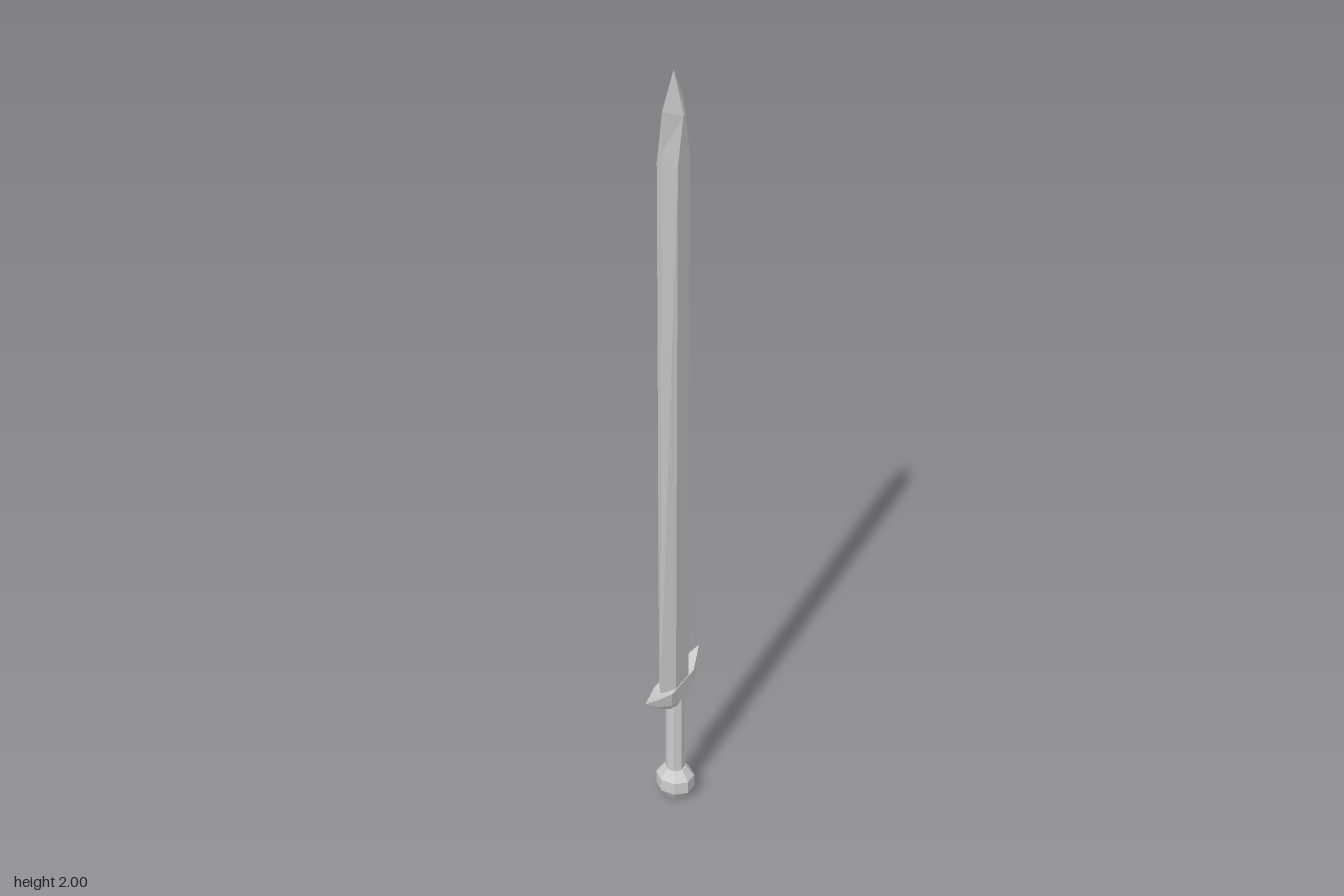
import * as THREE from 'three';

const material = new THREE.MeshStandardMaterial({ color: 0xcccccc, flatShading: true });

// Skin a stack of equal-length rings, ordered counterclockwise about the stacking axis
function loft(name, rings) {
  const pos = [];
  const tri = (a, b, c) => {
    const [p, q, r] = [a, b, c].map((v) => new THREE.Vector3(...v));
    if (q.sub(p).cross(r.sub(p)).length() > 1e-9) pos.push(...a, ...b, ...c);
  };
  const n = rings[0].length;
  for (let k = 0; k < rings.length - 1; k++) {
    for (let i = 0; i < n; i++) {
      const j = (i + 1) % n, a = rings[k], b = rings[k + 1];
      tri(a[i], a[j], b[j]);
      tri(a[i], b[j], b[i]);
    }
  }
  const first = rings[0], last = rings[rings.length - 1];
  for (let i = 1; i < n - 1; i++) {
    tri(first[0], first[i + 1], first[i]);
    tri(last[0], last[i], last[i + 1]);
  }
  const geo = new THREE.BufferGeometry();
  geo.setAttribute('position', new THREE.Float32BufferAttribute(pos, 3));
  geo.computeVertexNormals();
  const mesh = new THREE.Mesh(geo, material);
  mesh.name = name;
  return mesh;
}

// Eight-sided turned part from [radius, y] points
function turned(name, profile) {
  const geo = new THREE.LatheGeometry(profile.map(([r, y]) => new THREE.Vector2(r, y)), 8, Math.PI / 8);
  const mesh = new THREE.Mesh(geo.toNonIndexed(), material);
  mesh.geometry.computeVertexNormals();
  mesh.name = name;
  return mesh;
}

export function createModel() {
  const group = new THREE.Group();
  const cx = -0.004; // blade and guard sit slightly off the grip axis

  // Blade: six-sided section with bevelled edges along z
  // [y of flats, y of edges, half thickness, half flat width, half full width]
  const bladeRings = [
    [0.34, 0.34, 0.024, 0.032, 0.068],
    [1.79, 1.83, 0.026, 0.028, 0.052],
    [1.9, 1.92, 0.026, 0.004, 0.044],
    [2, 2, 0, 0, 0],
  ].map(([y, ye, h, f, w]) => [
    [cx, ye, w], [cx + h, y, f], [cx + h, y, -f],
    [cx, ye, -w], [cx - h, y, -f], [cx - h, y, f],
  ]);
  group.add(loft('blade', bladeRings));

  // Guard: crescent stacked along z, pointed at both ends
  // [z, half thickness, bottom y, top y]
  const half = [
    [0.02, 0.026, 0.304, 0.367],
    [0.055, 0.026, 0.318, 0.367],
    [0.095, 0.0135, 0.342, 0.372],
    [0.136, 0, 0.381, 0.381],
  ];
  const stations = [...half.map(([z, ...r]) => [-z, ...r]).reverse(), ...half];
  const guardRings = stations.map(([z, h, low, top]) => {
    const x = cx - 0.004 * Math.max(0, (Math.abs(z) - 0.055) / 0.081);
    const bevel = low + (top - low) * 0.25;
    return [
      [x - h * 0.75, low, z], [x + h * 0.75, low, z], [x + h, bevel, z],
      [x + h, top, z], [x - h, top, z], [x - h, bevel, z],
    ];
  });
  group.add(loft('guard', guardRings));

  // Grip
  const grip = turned('grip', [[0, 0.07], [0.025, 0.07], [0.024, 0.32], [0, 0.32]]);
  group.add(grip);

  // Pommel: faceted knob, slightly flattened in z
  const pommel = turned('pommel', [[0, 0], [0.029, 0], [0.05, 0.029], [0.05, 0.064], [0.029, 0.09], [0, 0.09]]);
  pommel.scale.z = 0.88;
  group.add(pommel);

  return group;
}
